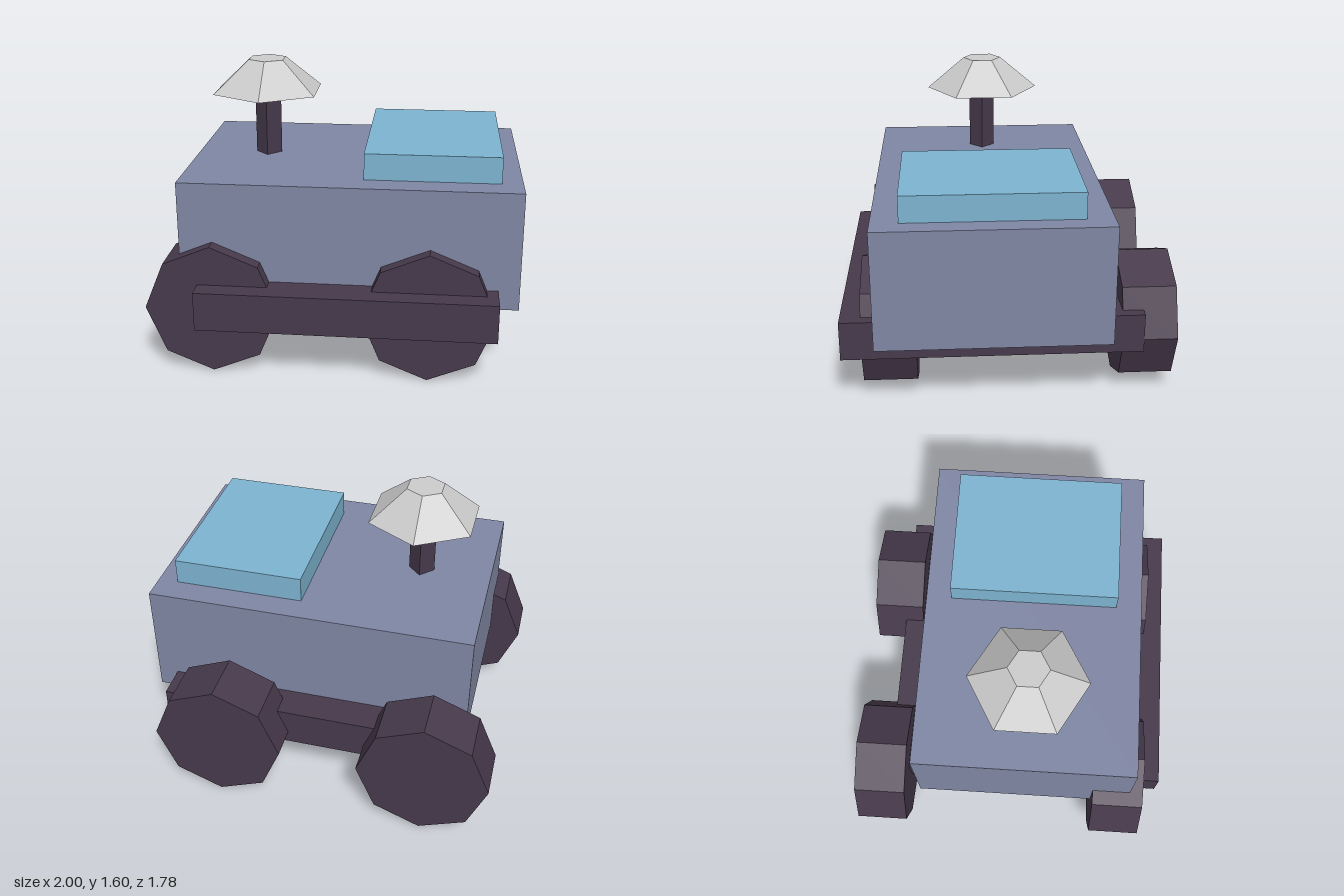
import * as THREE from 'three';

const paint = (color) => new THREE.MeshStandardMaterial({ color, flatShading: true });

export function createModel() {
  const group = new THREE.Group();
  const dark = paint(0x46394b);
  const blueGrey = paint(0x7f86a3);
  const blue = paint(0x7db3d0);
  const grey = paint(0xcccccc);

  const add = (name, geometry, material, x, y, z) => {
    const mesh = new THREE.Mesh(geometry, material);
    mesh.name = name;
    mesh.position.set(x, y, z);
    group.add(mesh);
    return mesh;
  };

  // Box given by its extents on each axis
  const box = (name, material, [x0, x1], [y0, y1], [z0, z1]) =>
    add(name, new THREE.BoxGeometry(x1 - x0, y1 - y0, z1 - z0), material,
      (x0 + x1) / 2, (y0 + y1) / 2, (z0 + z1) / 2);

  // Body, chassis slab and raised panel
  box('chassis', dark, [-0.71, 0.888], [0.295, 0.51], [-0.71, 0.888]);
  box('body', blueGrey, [-0.818, 1], [0.403, 1.056], [-0.53, 0.705]);
  box('roofPanel', blue, [0.162, 0.888], [1.05, 1.2], [-0.385, 0.56]);

  // Square post, corner forward, under a six-sided tapered shade
  add('post', new THREE.CylinderGeometry(0.073, 0.073, 0.38, 4), dark, -0.42, 1.24, 0.09);
  add('shade', new THREE.CylinderGeometry(0.11, 0.325, 0.18, 6), grey, -0.42, 1.51, 0.087);

  // Four octagonal wheels
  const wheel = new THREE.CylinderGeometry(0.363, 0.363, 0.29, 8).rotateX(Math.PI / 2);
  for (const [end, x] of [['Left', 0.525], ['Right', -0.637]]) {
    add('frontWheel' + end, wheel, dark, x, 0.365, 0.635);
    add('backWheel' + end, wheel, dark, x, 0.365, -0.745);
  }
  return group;
}
